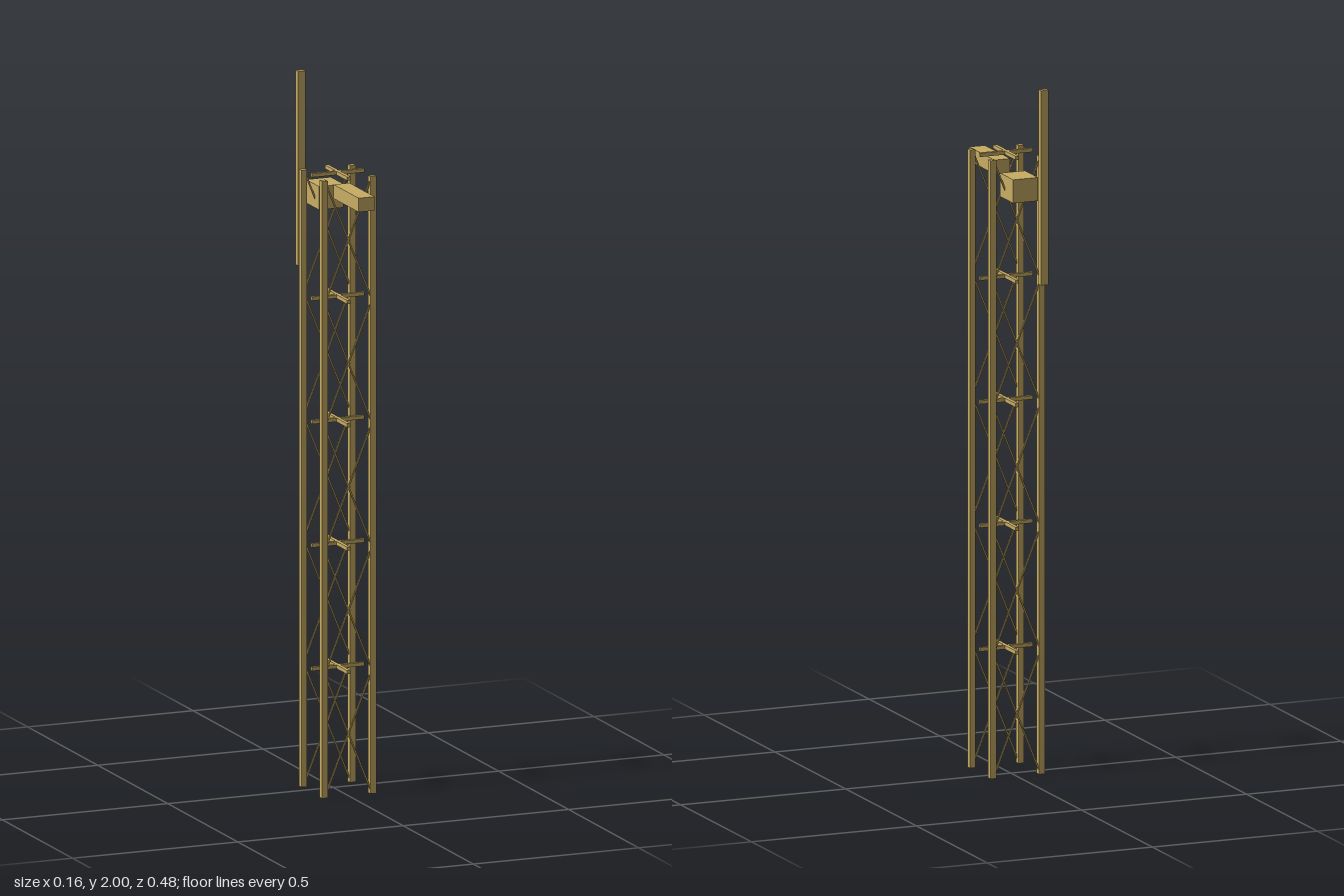
import * as THREE from 'three';

export function createModel() {
  const model = new THREE.Group();
  model.name = 'latticeMast';
  const tan = new THREE.MeshStandardMaterial({ color: 0xc8ad64 });
  tan.name = 'tan';

  function addBox(name, size, position) {
    const mesh = new THREE.Mesh(new THREE.BoxGeometry(...size), tan);
    mesh.name = name;
    mesh.position.set(...position);
    model.add(mesh);
    return mesh;
  }

  const height = 1.766, bays = 5, bay = height / bays;
  const half = 0.0735, centreZ = 0.0325;

  // Four corner posts
  for (const sx of [-1, 1]) {
    for (const sz of [-1, 1]) {
      addBox('post', [0.0175, height, 0.0175], [sx * half, height / 2, centreZ + sz * half]);
    }
  }

  // Crossed horizontal bars at the top of each bay
  for (let i = 1; i <= bays; i++) {
    addBox('crossbarWide', [0.159, 0.0107, 0.0107], [0, i * bay, centreZ]);
    addBox('crossbarDeep', [0.0107, 0.0107, 0.159], [0, i * bay, centreZ]);
  }

  // X bracing on the front and back faces
  const run = 0.143, length = Math.hypot(run, bay), tilt = Math.atan2(run, bay);
  for (let i = 0; i < bays; i++) {
    for (const sz of [-1, 1]) {
      for (const dir of [-1, 1]) {
        const brace = addBox('diagonalBrace', [0.0043, length, 0.0043],
          [0, (i + 0.5) * bay, centreZ + sz * 0.0755]);
        brace.rotation.z = dir * tilt;
      }
    }
  }

  // Equipment at the top
  addBox('frontArm', [0.048, 0.04, 0.179], [0, 1.72, 0.149]);
  addBox('rearHousing', [0.075, 0.067, 0.092], [0, 1.686, -0.059]);
  addBox('antenna', [0.023, 0.556, 0.017], [0, 1.722, -0.2325]);

  return model;
}
